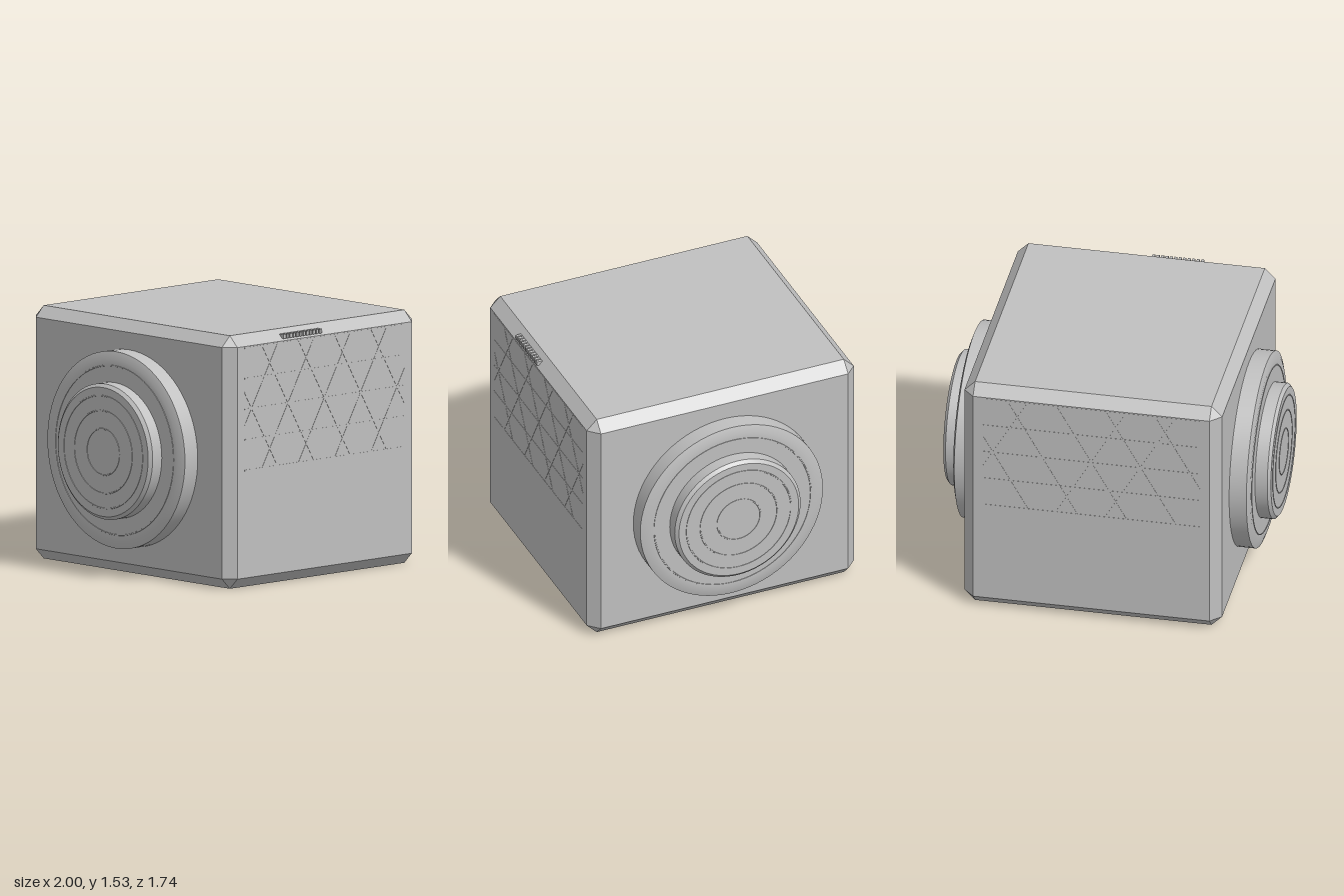
import * as THREE from 'three';
import { mergeGeometries, toCreasedNormals } from 'three/addons/utils/BufferGeometryUtils.js';
import { ConvexGeometry } from 'three/addons/geometries/ConvexGeometry.js';

const HALF = { x: 0.785, y: 0.765, z: 0.87 };
const CHAMFER = 0.065;
const CENTER_Y = 0.765;

// Box with chamfered edges and triangular corners
function chamferedBox({ x, y, z }, c) {
  const points = [];
  for (const sx of [-1, 1]) for (const sy of [-1, 1]) for (const sz of [-1, 1]) {
    points.push(
      new THREE.Vector3(sx * x, sy * (y - c), sz * (z - c)),
      new THREE.Vector3(sx * (x - c), sy * y, sz * (z - c)),
      new THREE.Vector3(sx * (x - c), sy * (y - c), sz * z));
  }
  return new ConvexGeometry(points);
}

// Stepped round hub with fine raised rings on its flat faces
function hubGeometry() {
  const ring = (r, h) => [[r + 0.004, h], [r + 0.003, h + 0.002], [r - 0.003, h + 0.002], [r - 0.004, h]];
  const profile = [
    [0.595, 0.78], [0.595, 0.89], [0.55, 0.905],
    ...ring(0.51, 0.905),
    [0.41, 0.905], [0.41, 0.98], [0.39, 0.998],
    ...ring(0.34, 0.998), ...ring(0.25, 0.998), ...ring(0.14, 0.998),
    [0, 0.998],
  ].map(([r, h]) => new THREE.Vector2(r, h));
  return toCreasedNormals(new THREE.LatheGeometry(profile, 72), 0.5);
}

// Triangular lattice of hairline ribs, clipped to a rectangle
function latticeGeometry() {
  const left = -0.66, right = 0.66, low = 0.715, high = 1.455;
  const ribs = [];
  const addRib = (x0, y0, x1, y1) => {
    const length = Math.hypot(x1 - x0, y1 - y0);
    if (length < 0.02) return;
    const rib = new THREE.BoxGeometry(length, 0.008, 0.003);
    rib.rotateZ(Math.atan2(y1 - y0, x1 - x0));
    ribs.push(rib.translate((x0 + x1) / 2, (y0 + y1) / 2, 0));
  };
  for (let i = 0; i < 5; i++) {
    const y = low + i * (high - low) / 4;
    addRib(left, y, right, y);
  }
  const run = (high - low) / Math.tan(Math.PI / 3);
  for (const dir of [-1, 1]) {
    for (let k = -4; k <= 4; k++) {
      const start = k * 0.3 - dir * run / 2;
      const at = (x) => (x - start) / (dir * run);
      const [t0, t1] = [at(left), at(right)].sort((a, b) => a - b);
      const a = Math.max(0, t0), b = Math.min(1, t1);
      if (a >= b) continue;
      const y = (t) => low + t * (high - low);
      addRib(start + dir * run * a, y(a), start + dir * run * b, y(b));
    }
  }
  return mergeGeometries(ribs);
}

export function createModel() {
  const model = new THREE.Group();
  model.name = 'chamferedBlockWithHubs';
  const gray = new THREE.MeshStandardMaterial({ color: 0xc0c0c0 });
  gray.name = 'light gray';

  const add = (name, geometry) => {
    const mesh = new THREE.Mesh(geometry, gray);
    mesh.name = name;
    model.add(mesh);
    return mesh;
  };

  add('body', chamferedBox(HALF, CHAMFER)).position.y = CENTER_Y;

  // Hubs on both sides
  const hub = hubGeometry();
  for (const [name, side] of [['leftHub', 1], ['rightHub', -1]]) {
    const mesh = add(name, hub);
    mesh.position.y = CENTER_Y;
    mesh.rotation.z = -side * Math.PI / 2;
  }

  // Lattices on the front and back
  const lattice = latticeGeometry();
  add('frontLattice', lattice).position.z = HALF.z;
  const back = add('backLattice', lattice);
  back.position.z = -HALF.z;
  back.rotation.y = Math.PI;

  // Row of small plain blocks standing on the upper front chamfer
  const blocks = [];
  for (let i = 0; i < 12; i++) {
    blocks.push(new THREE.BoxGeometry(0.018, 0.026, 0.035)
      .translate(-0.33 + i * 0.0272, 1.49, 0.853));
  }
  add('blockRow', mergeGeometries(blocks));

  return model;
}
